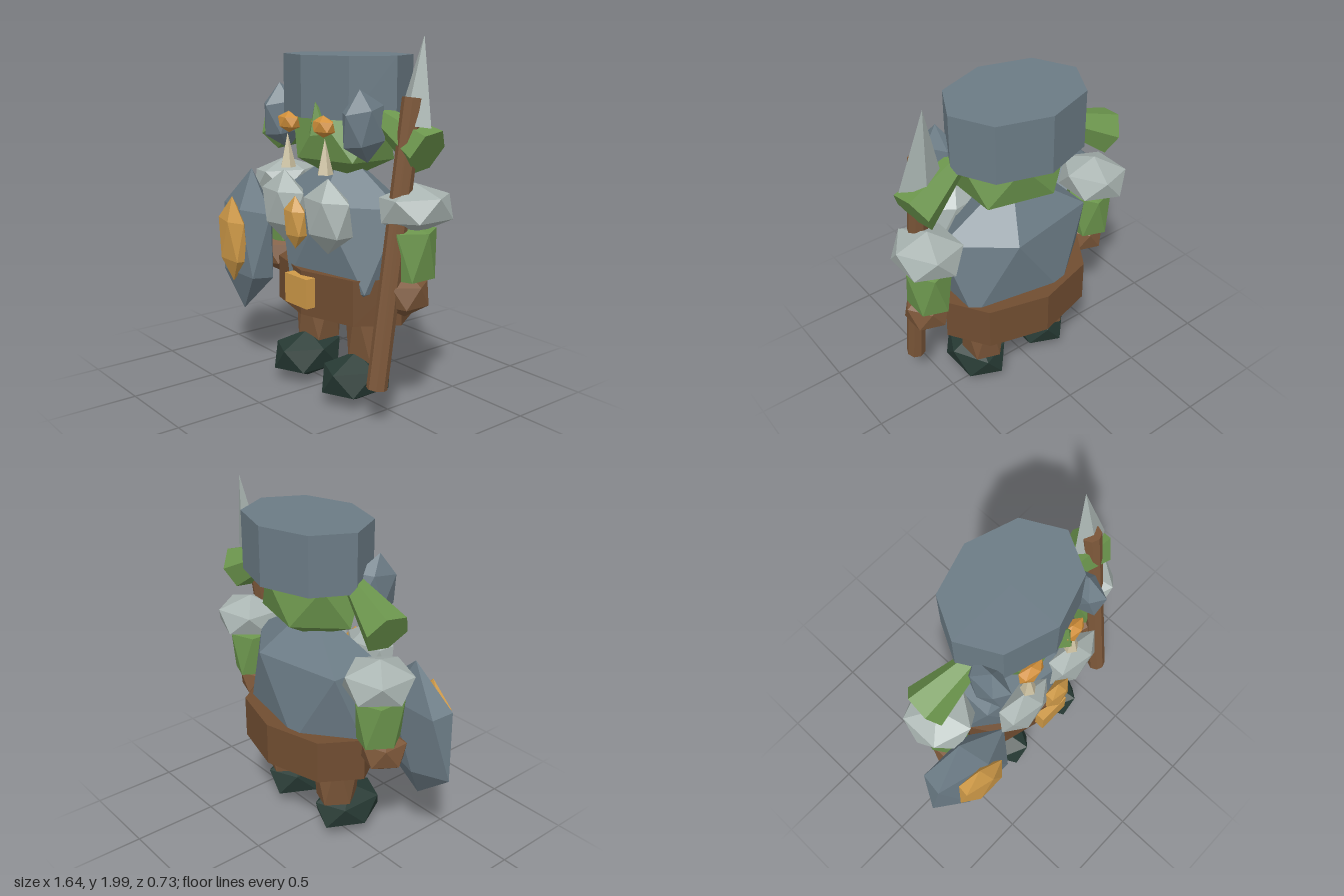
import * as THREE from 'three';
import { ConvexGeometry } from 'three/addons/geometries/ConvexGeometry.js';

const material = (name, color) => {
  const m = new THREE.MeshStandardMaterial({ color, flatShading: true });
  m.name = name;
  return m;
};

export function createModel() {
  const model = new THREE.Group();
  model.name = 'armouredGuard';
  const CX = 0.07; // symmetry line of the body

  const steel = material('steel', 0x6b7b85);
  const plate = material('paleSteel', 0xa9b4b1);
  const skin = material('greenSkin', 0x6c964d);
  const leather = material('leather', 0x7c5739);
  const belt = material('beltLeather', 0x704d31);
  const gold = material('gold', 0xcf9a48);
  const eyeGold = material('eyeAmber', 0xd2903a);
  const boot = material('bootLeather', 0x273a34);
  const ivory = material('ivory', 0xcfc4a4);

  const add = (name, geometry, mat, pos, rot = [0, 0, 0]) => {
    const mesh = new THREE.Mesh(geometry, mat);
    mesh.name = name;
    mesh.position.set(...pos);
    mesh.rotation.set(...rot);
    model.add(mesh);
    return mesh;
  };

  // Icosahedron standing on a pole; taper narrows the lower ring, pole shortens the ends
  const gem = ([rx, ry, rz], taper = 1, pole = 1) => {
    const pts = [new THREE.Vector3(0, ry * pole, 0), new THREE.Vector3(0, -ry * pole, 0)];
    for (let i = 0; i < 10; i++) {
      const a = (i * Math.PI) / 5;
      const low = i % 2 === 1;
      const r = 0.894 * (low ? taper : 1);
      pts.push(new THREE.Vector3(rx * r * Math.cos(a), ry * (low ? -0.447 : 0.447), rz * r * Math.sin(a)));
    }
    return new ConvexGeometry(pts);
  };

  // Cone between two points
  const spike = (name, mat, base, tip, r, sides, flat = 1) => {
    const a = new THREE.Vector3(...base), b = new THREE.Vector3(...tip);
    const g = new THREE.ConeGeometry(r, a.distanceTo(b), sides);
    g.scale(1, 1, flat);
    const mesh = add(name, g, mat, a.clone().add(b).multiplyScalar(0.5).toArray());
    mesh.quaternion.setFromUnitVectors(new THREE.Vector3(0, 1, 0), b.sub(a).normalize());
  };

  // Eight-sided oval drum
  const drum = (name, mat, y0, y1, rx, rz, z) => {
    const g = new THREE.CylinderGeometry(1, 1, y1 - y0, 8);
    g.scale(rx, 1, rz);
    add(name, g, mat, [CX, (y0 + y1) / 2, z]);
  };

  // Trunk, belt, head and helmet
  add('torso', gem([0.53, 0.5, 0.305]), steel, [CX, 0.89, -0.03]);
  drum('belt', belt, 0.49, 0.74, 0.475, 0.31, -0.05);
  add('buckle', new THREE.BoxGeometry(0.195, 0.165, 0.06), gold, [CX, 0.632, 0.267]);
  add('head', gem([0.36, 0.26, 0.275]), skin, [CX, 1.46, -0.03]);
  drum('helmet', steel, 1.57, 1.895, 0.4, 0.312, -0.06);
  add('chestGem', gem([0.095, 0.145, 0.05]), gold, [CX, 1.013, 0.295]);
  spike('nose', skin, [0.17, 1.5, 0.2], [0.17, 1.66, 0.235], 0.07, 5);

  // Paired parts
  for (const s of [-1, 1]) {
    const side = s > 0 ? 'left' : 'right';
    const x = (d) => CX + s * d;
    add(side + 'Boot', gem([0.175, 0.142, 0.24]), boot, [s > 0 ? 0.295 : -0.155, 0.152, 0.05]);
    add(side + 'Leg', gem([0.155, 0.39, 0.17], 0.84, 0.52), leather, [x(0.23), 0.42, -0.04]);
    add(side + 'Arm', gem([0.142, 0.28, 0.163], 0.92, 0.52), skin, [x(0.56), 0.905, -0.03]);
    add(side + 'Hand', gem([0.135, 0.125, 0.145]), leather, [x(0.56), 0.7, 0.01]);
    add(side + 'ShoulderPlate', gem([0.205, 0.13, 0.22]), plate, [x(0.565), 1.14, -0.05], [0, 0, 0.08]);
    add(side + 'ChestPlate', gem([0.195, 0.202, 0.1]), plate, [x(0.195), 1.067, 0.225]);
    add(side + 'CheekGuard', gem([0.083, 0.19, 0.15]), steel, [x(0.348), 1.545, 0.115], [0.15, 0, 0]);
    add(side + 'Eye', gem([0.09, 0.058, 0.05]), eyeGold, [x(0.152), 1.535, 0.222]);
    spike(side + 'Tusk', ivory, [x(0.165), 1.287, 0.222], [x(0.165), 1.475, 0.222], 0.045, 5);
    spike(side + 'Ear', skin, [x(-0.63 * -1), 1.43, -0.06], [x(0.09), 1.71, 0.02], 0.13, 6);
  }

  // Shield with its boss, carried on the right arm
  add('shield', gem([0.31, 0.428, 0.125]), steel, [-0.552, 0.788, 0.195], [-0.08, -0.14, 0]);
  add('shieldBoss', gem([0.17, 0.258, 0.065]), gold, [-0.552, 0.803, 0.302], [0, -0.12, 0]);

  // Leaning spear in the left hand
  const tilt = -0.145;
  add('spearShaft', new THREE.CylinderGeometry(0.055, 0.055, 1.49, 8), leather, [0.625, 0.96, 0.082], [tilt, 0, 0]);
  spike('spearBlade', plate, [0.628, 1.555, -0.03], [0.625, 2.0, -0.095], 0.125, 4, 0.48);

  return model;
}
